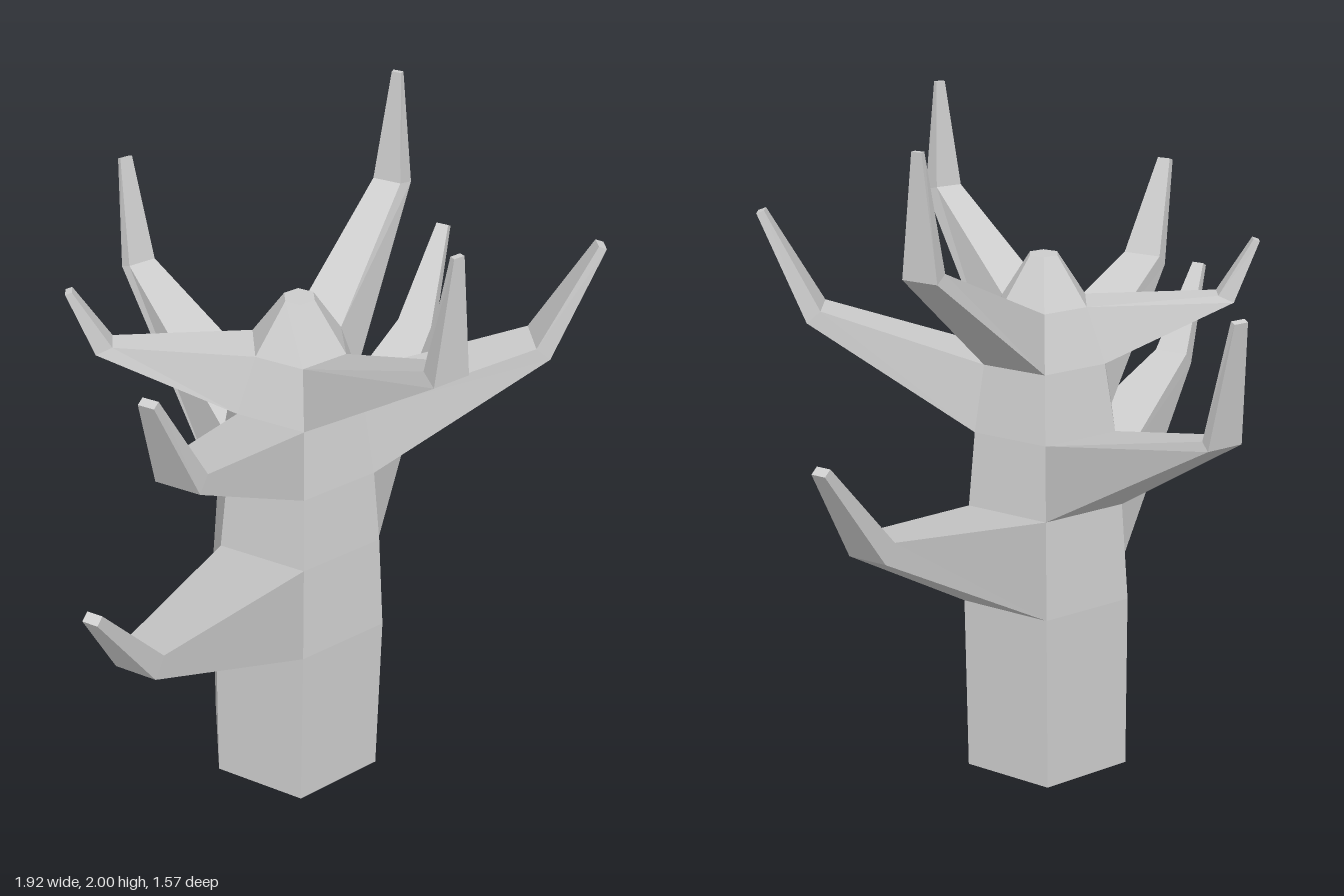
import * as THREE from 'three';

const material = new THREE.MeshStandardMaterial({ color: 0xcccccc, flatShading: true });

// Trunk rings: [corner radius, height]
const RINGS = [[0.283, 0], [0.283, 0.57], [0.26, 0.875], [0.235, 1.1], [0.2, 1.3], [0.14, 1.46], [0.045, 1.6]];

// Branch shapes: trunk ring they grow from, then elbow and tip sections
// as lower edge and upper edge, each [distance from axis, height, half width]
const LOW = { ring: 1, sections: [
  [[0.915, 1.01, 0.056], [0.872, 1.055, 0.057]],
  [[1.095, 1.307, 0.02], [1.072, 1.32, 0.02]]] };
const BACK = { ring: 2, sections: [
  [[0.89, 1.3, 0.052], [0.855, 1.315, 0.045]],
  [[0.937, 1.637, 0.02], [0.922, 1.642, 0.02]]] };
const MIDDLE = { ring: 3, sections: [
  [[0.677, 1.415, 0.062], [0.636, 1.45, 0.062]],
  [[0.805, 1.725, 0.021], [0.783, 1.733, 0.021]]] };
const HIGH = { ring: 4, sections: [
  [[0.635, 1.67, 0.053], [0.58, 1.685, 0.042]],
  [[0.63, 2, 0.015], [0.615, 2, 0.014]]] };
const TWIG = { ring: 4, sections: [
  [[0.545, 1.46, 0.036], [0.5, 1.48, 0.033]],
  [[0.615, 1.635, 0.016], [0.597, 1.641, 0.016]]] };

// Bottom or top edge of the trunk panel at a ring
const panelEdge = ([radius, y]) => [radius * Math.cos(Math.PI / 6), y, radius / 2];

// Four-sided loft through the sections, closed at the tip, pointing along +z
function branchGeometry({ ring, sections }) {
  const all = [[panelEdge(RINGS[ring]), panelEdge(RINGS[ring + 1])], ...sections];
  const positions = [];
  const index = [];
  for (const [[r0, y0, w0], [r1, y1, w1]] of all) {
    positions.push(-w0, y0, r0, w0, y0, r0, w1, y1, r1, -w1, y1, r1);
  }
  for (let s = 0; s < all.length - 1; s++) {
    for (let k = 0; k < 4; k++) {
      const a = s * 4 + k;
      const b = s * 4 + (k + 1) % 4;
      index.push(a, b, b + 4, a, b + 4, a + 4);
    }
  }
  const e = (all.length - 1) * 4;
  index.push(e, e + 1, e + 2, e, e + 2, e + 3);
  const geometry = new THREE.BufferGeometry();
  geometry.setAttribute('position', new THREE.Float32BufferAttribute(positions, 3));
  geometry.setIndex(index);
  geometry.computeVertexNormals();
  return geometry;
}

export function createModel() {
  const group = new THREE.Group();
  group.name = 'bareTree';

  // Six-sided tapering trunk with a pointed crown
  const profile = [[0, 0], ...RINGS, [0, 1.6]].map(([r, y]) => new THREE.Vector2(r, y));
  const trunk = new THREE.Mesh(new THREE.LatheGeometry(profile, 6, Math.PI / 6), material);
  trunk.name = 'trunk';
  group.add(trunk);

  // Branches, each turned to one of the six trunk faces
  const branches = [
    ['lowerBranchBackLeft', LOW, 120],
    ['lowerBranchFrontRight', LOW, 300],
    ['backBranch', BACK, 180],
    ['middleBranchLeft', MIDDLE, 60],
    ['middleBranchRight', MIDDLE, 300],
    ['upperBranchFront', HIGH, 0],
    ['upperBranchBackLeft', HIGH, 120],
    ['upperTwigBackRight', TWIG, 240],
  ];
  for (const [name, shape, degrees] of branches) {
    const branch = new THREE.Mesh(branchGeometry(shape), material);
    branch.name = name;
    branch.rotation.y = THREE.MathUtils.degToRad(degrees);
    group.add(branch);
  }

  // The trunk stands forward of centre because the back branch reaches further
  group.position.z = 0.155;
  const model = new THREE.Group();
  model.name = 'tree';
  model.add(group);
  return model;
}
